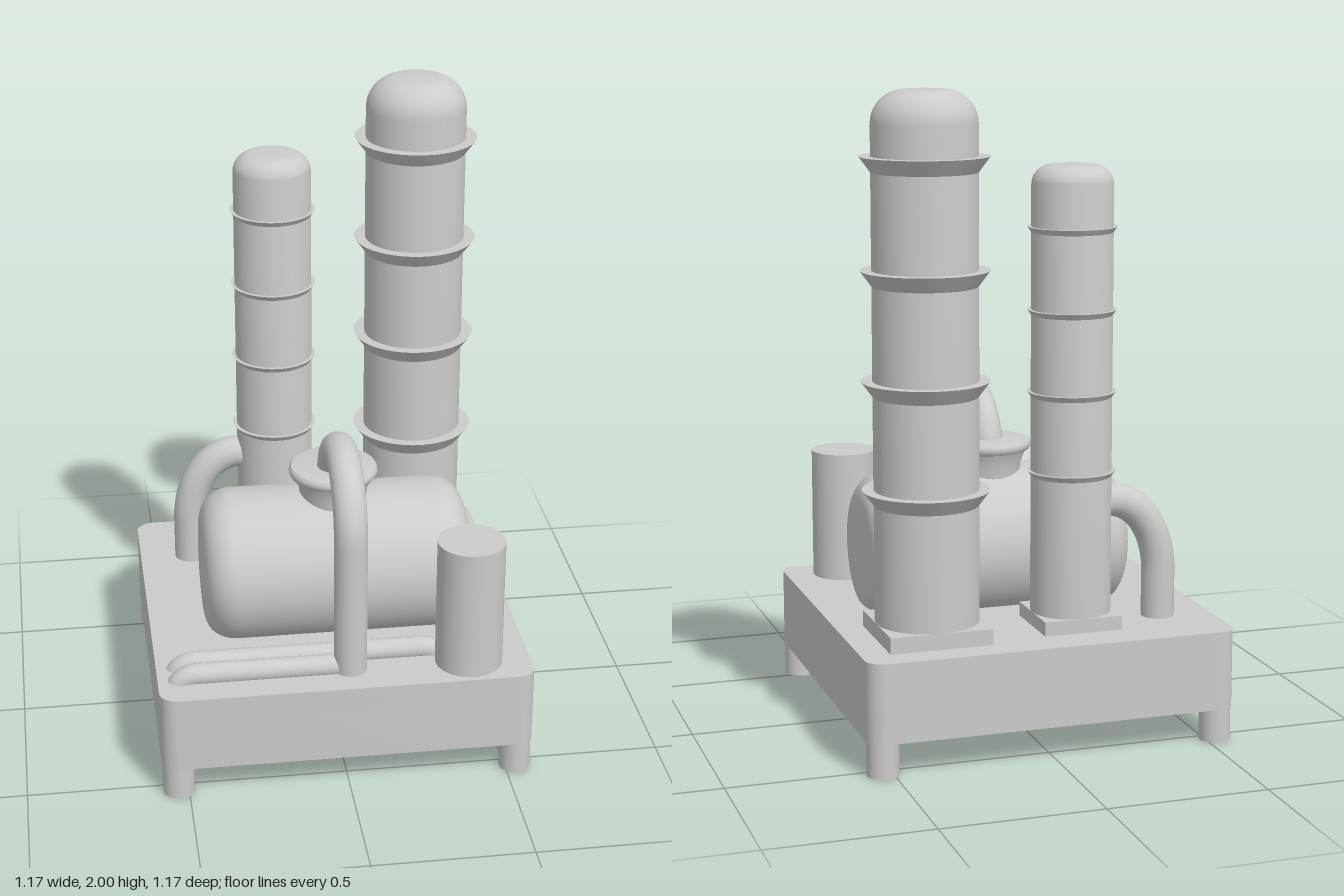
import * as THREE from 'three';
import { toCreasedNormals } from 'three/addons/utils/BufferGeometryUtils.js';

const V3 = (x, y, z) => new THREE.Vector3(x, y, z);
const material = new THREE.MeshStandardMaterial({ color: 0xcccccc });

export function createModel() {
  const model = new THREE.Group();

  function add(name, geometry, x = 0, y = 0, z = 0, parent = model) {
    const mesh = new THREE.Mesh(geometry, material);
    mesh.name = name;
    mesh.position.set(x, y, z);
    parent.add(mesh);
    return mesh;
  }

  // Lathe from [radius, height] pairs, listed bottom to top
  function lathe(points, segments = 48) {
    const geo = new THREE.LatheGeometry(points.map(([r, y]) => new THREE.Vector2(r, y)), segments);
    return toCreasedNormals(geo, 0.6);
  }

  // Quarter-round shoulder that ends a vessel of radius r at height top
  function shoulder(r, top, round, steps = 10) {
    return Array.from({ length: steps + 1 }, (_, i) => {
      const a = (i / steps) * Math.PI / 2;
      return [r - round + round * Math.cos(a), top - round + round * Math.sin(a)];
    });
  }

  function pipe(name, parts, radius, segments = 64) {
    const path = new THREE.CurvePath();
    parts.forEach((p) => path.add(p));
    add(name, new THREE.TubeGeometry(path, segments, radius, 20));
  }
  const line = (a, b) => new THREE.LineCurve3(a, b);

  // Elliptical arc starting at center + u, turning towards v
  function arc(center, u, v, angle) {
    const curve = new THREE.Curve();
    curve.getPoint = (t, target = V3()) => target.copy(center)
      .addScaledVector(u, Math.cos(t * angle)).addScaledVector(v, Math.sin(t * angle));
    return curve;
  }

  // Rounded rectangle outline
  function roundRect(x0, y0, x1, y1, r, target) {
    target.moveTo(x0 + r, y0);
    target.lineTo(x1 - r, y0).absarc(x1 - r, y0 + r, r, -Math.PI / 2, 0);
    target.lineTo(x1, y1 - r).absarc(x1 - r, y1 - r, r, 0, Math.PI / 2);
    target.lineTo(x0 + r, y1).absarc(x0 + r, y1 - r, r, Math.PI / 2, Math.PI);
    target.lineTo(x0, y0 + r).absarc(x0 + r, y0 + r, r, Math.PI, Math.PI * 1.5);
    return target;
  }

  // Horizontal frame between two heights; outlines are given in x and -z
  function frame(name, y0, y1, outer, hole) {
    const shape = roundRect(...outer, new THREE.Shape());
    shape.holes.push(roundRect(...hole, new THREE.Path()));
    const geo = new THREE.ExtrudeGeometry(shape, { depth: y1 - y0, bevelEnabled: false, curveSegments: 6 });
    geo.rotateX(-Math.PI / 2);
    add(name, toCreasedNormals(geo, 0.5), 0, y0, 0);
  }

  // Skid base: deck with an opening under the tank, and a hollow skirt
  const H = 0.583, deckTop = 0.354, deckBottom = 0.285, recessTop = 0.48;
  const outline = [-H, -H, H, H, 0.055];
  const opening = [-0.315, -0.205, 0.315, 0.015, 0.002];
  frame('deck', deckBottom, deckTop, outline, opening);
  frame('skirt', 0.107, deckBottom, outline, [-0.56, -0.56, 0.56, 0.56, 0.03]);

  // The opening carries on up inside the tank
  frame('recessWalls', deckTop, recessTop, [-0.32, -0.21, 0.32, 0.02, 0.002], opening);
  add('recessCeiling', new THREE.BoxGeometry(0.64, 0.01, 0.23), 0, recessTop + 0.005, 0.095);

  for (const sx of [-1, 1]) for (const sz of [-1, 1]) {
    add('leg', new THREE.CylinderGeometry(0.049, 0.049, deckBottom, 24), sx * 0.531, deckBottom / 2, sz * 0.531);
  }

  // Banded towers on square footings
  function tower(name, x, z, r, top, round, footTop, ringTops, ringRadius, ringHeight) {
    const group = new THREE.Group();
    group.name = name;
    group.position.set(x, 0, z);
    model.add(group);
    add('footing', new THREE.BoxGeometry(r * 2, footTop - 0.35, r * 2), 0, (footTop + 0.35) / 2, 0, group);
    add('shell', lathe([[r, 0.36], ...shoulder(r, top, round), [0, top]]), 0, 0, 0, group);
    for (const y of ringTops) {
      add('flaredRing', lathe([[r - 0.002, y - ringHeight], [ringRadius, y], [r - 0.002, y]]), 0, 0, 0, group);
    }
  }
  tower('tallTower', 0.335, -0.337, 0.159, 2, 0.1, 0.404, [0.811, 1.141, 1.471, 1.806], 0.194, 0.05);
  tower('slimTower', -0.125, -0.337, 0.124, 1.77, 0.06, 0.398, [0.84, 1.085, 1.335, 1.585], 0.136, 0.02);

  // Horizontal tank, its belly left open where it sinks into the deck
  const half = 0.424, end = shoulder(0.246, half, 0.1);
  const lower = end.map(([r, y]) => [r, -y]).reverse();
  const tank = new THREE.LatheGeometry(
    [[0, -half], ...lower, ...end, [0, half]].map(([r, y]) => new THREE.Vector2(r, y)), 64);
  tank.rotateZ(-Math.PI / 2).translate(0.016, 0.533, 0.068);
  const pos = tank.attributes.position, corners = tank.index.array, kept = [];
  for (let i = 0; i < corners.length; i += 3) {
    const tri = [...corners.slice(i, i + 3)];
    if (tri.some((v) => pos.getY(v) > 0.345)) kept.push(...tri);
  }
  tank.setIndex(kept);
  for (let i = 0; i < pos.count; i++) pos.setY(i, Math.max(pos.getY(i), 0.345));
  add('tank', toCreasedNormals(tank, 0.5));

  // Manhole neck with a rounded flange
  add('manhole', lathe([[0.108, 0.7], [0.108, 0.79], [0.124, 0.832], [0.134, 0.835], [0.139, 0.842],
    [0.141, 0.851], [0.139, 0.86], [0.134, 0.866], [0.125, 0.868], [0, 0.868]]), 0.016, 0, 0.068);

  // Small upright vessel
  add('frontVessel', new THREE.CylinderGeometry(0.105, 0.105, 0.426, 48), 0.389, 0.563, 0.46);

  // Pipe arching from the deck into the manhole
  pipe('archPipe', [
    line(V3(0.016, 0.34, 0.462), V3(0.016, 0.796, 0.462)),
    arc(V3(0.016, 0.796, 0.262), V3(0, 0, 0.2), V3(0, 0.2, 0), Math.PI),
    line(V3(0.016, 0.796, 0.062), V3(0.016, 0.75, 0.062)),
  ], 0.052, 80);

  // Elbow pipe from the slim tower down to the deck
  pipe('elbowPipe', [
    line(V3(-0.415, 0.34, -0.337), V3(-0.415, 0.5, -0.337)),
    arc(V3(-0.25, 0.5, -0.337), V3(-0.165, 0, 0), V3(0, 0.235, 0), Math.PI / 2),
    line(V3(-0.25, 0.735, -0.337), V3(-0.15, 0.735, -0.337)),
  ], 0.052);

  // Low pipes along the front of the deck, bending down into it at both ends
  for (const [z, x1] of [[0.389, 0.25], [0.46, -0.04]]) {
    const x0 = -0.462, y = 0.31;
    pipe('deckPipe', [
      arc(V3(x0, y, z), V3(-0.065, 0, 0), V3(0, 0.06, 0), Math.PI / 2),
      line(V3(x0, y + 0.06, z), V3(x1, y + 0.06, z)),
      arc(V3(x1, y, z), V3(0, 0.06, 0), V3(0.065, 0, 0), Math.PI / 2),
    ], 0.035, 80);
  }

  return model;
}
